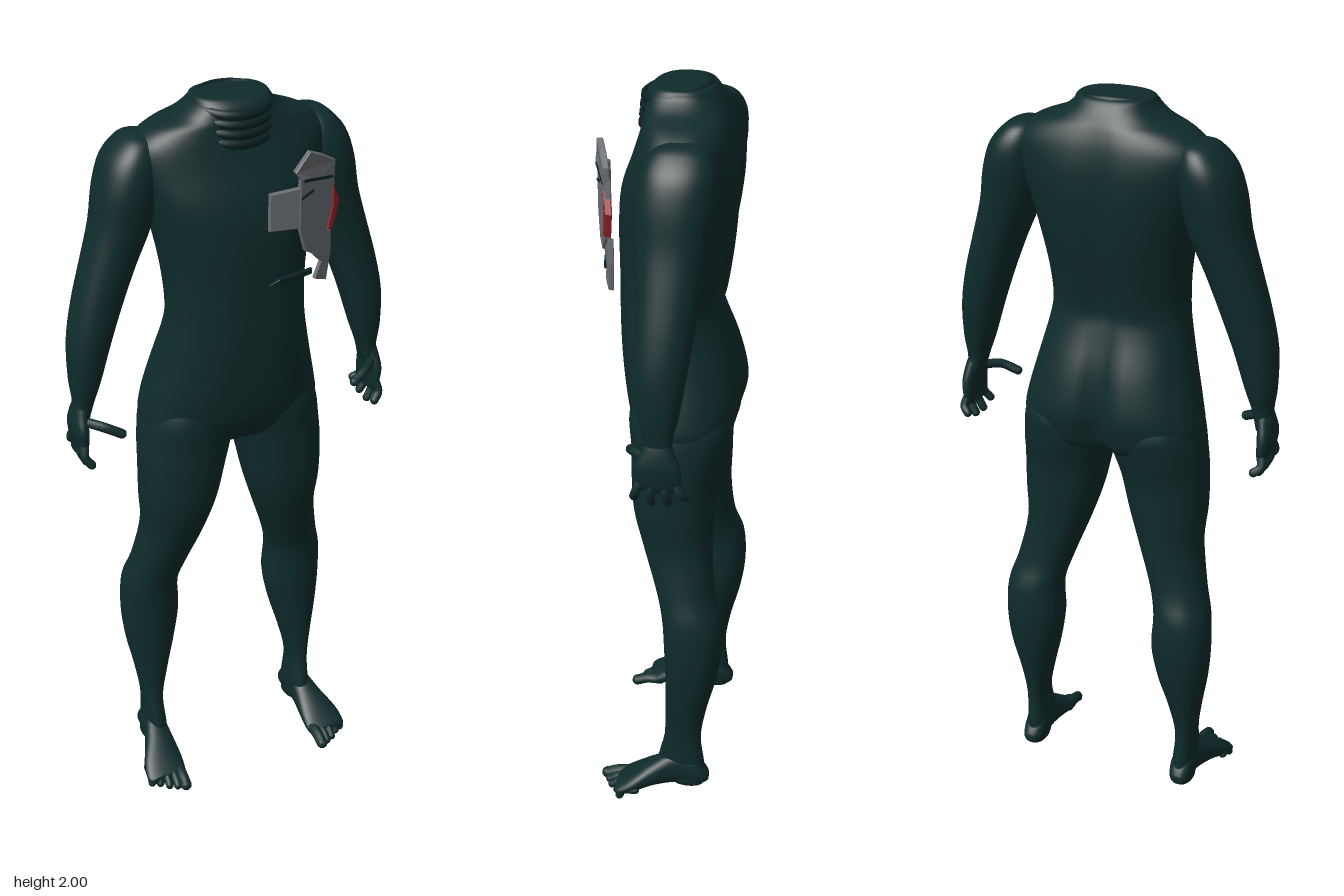
import * as THREE from 'three';
import { mergeGeometries } from 'three/addons/utils/BufferGeometryUtils.js';

const flat = (name, color) => {
  const m = new THREE.MeshStandardMaterial({ color });
  m.name = name;
  return m;
};

// Smooth a table of section rows with a Catmull-Rom spline in every column
function refine(rows, n = 4) {
  const out = [];
  const at = i => rows[Math.max(0, Math.min(rows.length - 1, i))];
  for (let i = 0; i < rows.length - 1; i++) {
    for (let k = 0; k < n; k++) {
      const t = k / n;
      out.push(rows[i].map((b, c) => {
        const a = at(i - 1)[c], d = at(i + 1)[c], e = at(i + 2)[c];
        return 0.5 * (2 * b + (d - a) * t + (2 * a - 5 * b + 4 * d - e) * t * t + (3 * b - a - 3 * d + e) * t * t * t);
      }));
    }
  }
  out.push(rows[rows.length - 1]);
  return out;
}

// Closed skin through rounded sections; row = [t, u min, u max, v min, v max, groove]
function loft(rows, place, power = 2.2, seg = 40) {
  const pos = [], index = [], sections = refine(rows);
  const round = c => Math.sign(c) * Math.abs(c) ** (2 / power);
  sections.forEach(([t, u0, u1, v0, v1, groove = 0]) => {
    for (let j = 0; j < seg; j++) {
      const a = j / seg * Math.PI * 2;
      const u = (u0 + u1) / 2 + (u1 - u0) / 2 * round(Math.cos(a));
      let v = (v0 + v1) / 2 + (v1 - v0) / 2 * round(Math.sin(a));
      if (Math.sin(a) < 0) v += groove * Math.exp(-((u / 0.035) ** 2));
      pos.push(...place(t, u, v));
    }
  });
  const last = sections.length - 1;
  for (let i = 0; i < last; i++) {
    for (let j = 0; j < seg; j++) {
      const a = i * seg + j, b = i * seg + (j + 1) % seg;
      index.push(a, a + seg, b, b, a + seg, b + seg);
    }
  }
  [0, last].forEach((i, end) => {
    const [t, u0, u1, v0, v1] = sections[i], c = pos.length / 3;
    pos.push(...place(t, (u0 + u1) / 2, (v0 + v1) / 2));
    for (let j = 0; j < seg; j++) {
      const a = i * seg + j, b = i * seg + (j + 1) % seg;
      index.push(...(end ? [c, b, a] : [c, a, b]));
    }
  });
  const g = new THREE.BufferGeometry();
  g.setAttribute('position', new THREE.Float32BufferAttribute(pos, 3));
  g.setIndex(index);
  g.computeVertexNormals();
  return g;
}
const upright = (y, x, z) => [x, y, z];
const lengthwise = (z, x, y) => [x, y, z];

// Rounded finger or toe along a few points
function digit(points, r) {
  const p = points.map(q => new THREE.Vector3(...q));
  const parts = [new THREE.TubeGeometry(new THREE.CatmullRomCurve3(p), 8, r, 10)];
  [p[0], p[p.length - 1]].forEach(e =>
    parts.push(new THREE.SphereGeometry(r, 10, 8).translate(e.x, e.y, e.z)));
  return mergeGeometries(parts);
}

function mirrored(geometry) {
  const g = geometry.clone(), ix = g.index.array, n = g.attributes.normal;
  const p = g.attributes.position;
  for (let i = 0; i < p.count; i++) {
    p.setX(i, -p.getX(i));
    n.setX(i, -n.getX(i));
  }
  for (let i = 0; i < ix.length; i += 3) [ix[i], ix[i + 1]] = [ix[i + 1], ix[i]];
  return g;
}

export function createModel() {
  const model = new THREE.Group();
  model.name = 'suitedBody';
  const suit = flat('dark green suit', 0x0f2b2b);
  const trim = flat('collar green', 0x0b2223);
  const grey = flat('plate grey', 0x6b6f73);
  const red = flat('plate red', 0x98242a);
  const add = (name, geometry, material = suit) => {
    const m = new THREE.Mesh(geometry, material);
    m.name = name;
    model.add(m);
    return m;
  };
  const pair = (name, geometry) => {
    add(name + 'Left', geometry);
    add(name + 'Right', mirrored(geometry));
  };

  // Torso with neck stump, spine groove and seat cleft
  const torso = [
    // y, half width, back z, front z, groove
    [1.06, 0.1, -0.1, 0.03, 0.02], [1.09, 0.21, -0.155, 0.08, 0.04],
    [1.14, 0.243, -0.176, 0.105, 0.045], [1.2, 0.235, -0.185, 0.12, 0.04],
    [1.3, 0.21, -0.163, 0.132, 0.025], [1.4, 0.187, -0.125, 0.137, 0.012],
    [1.46, 0.18, -0.113, 0.137, 0.012], [1.55, 0.184, -0.13, 0.137, 0.012],
    [1.65, 0.2, -0.152, 0.137, 0.014], [1.75, 0.225, -0.165, 0.128, 0.015],
    [1.83, 0.25, -0.165, 0.1, 0.012], [1.89, 0.25, -0.155, 0.08, 0.008],
    [1.93, 0.205, -0.14, 0.07, 0.004], [1.955, 0.14, -0.125, 0.07, 0],
    [1.98, 0.105, -0.11, 0.068, 0], [1.997, 0.095, -0.095, 0.05, 0], [2, 0.08, -0.08, 0.035, 0],
  ].map(([y, w, b, f, g]) => [y, -w, w, b, f, g]);
  add('torso', loft(torso, upright, 2.4, 64));

  // Legs
  pair('leg', loft([
    [0.04, 0.205, 0.262, -0.12, -0.03], [0.1, 0.2, 0.262, -0.12, 0.01],
    [0.2, 0.205, 0.262, -0.11, -0.008], [0.3, 0.184, 0.276, -0.125, -0.01],
    [0.4, 0.157, 0.294, -0.15, -0.01], [0.5, 0.14, 0.302, -0.165, -0.006],
    [0.6, 0.143, 0.297, -0.16, 0], [0.68, 0.122, 0.275, -0.136, 0.02],
    [0.8, 0.08, 0.252, -0.127, 0.06], [0.9, 0.048, 0.257, -0.13, 0.085],
    [1, 0.024, 0.257, -0.135, 0.092], [1.08, 0.004, 0.252, -0.155, 0.094],
    [1.16, 0.005, 0.238, -0.165, 0.1], [1.24, 0.04, 0.2, -0.12, 0.08],
  ], upright));

  // Feet, heel raised a little, with toes fanned outwards
  pair('foot', loft([
    [0.125, 0.212, 0.305, 0.012, 0.04], [0.11, 0.2, 0.315, 0.01, 0.05],
    [0.07, 0.197, 0.31, 0.018, 0.078], [0.02, 0.2, 0.288, 0.028, 0.11],
    [-0.04, 0.203, 0.268, 0.034, 0.14], [-0.09, 0.2, 0.264, 0.038, 0.13],
    [-0.12, 0.207, 0.258, 0.042, 0.095], [-0.133, 0.22, 0.247, 0.052, 0.075],
  ], lengthwise));
  const toes = [];
  for (let i = 0; i < 5; i++) {
    const x = 0.215 + i * 0.021, r = i ? 0.0115 : 0.016, tip = 0.163 - i * 0.011 - (i > 2 ? 0.008 : 0);
    toes.push(digit([[x, 0.034, 0.09 - i * 0.006], [x + 0.003, 0.03, 0.13 - i * 0.007], [x + 0.004, r + 0.002, tip]], r));
  }
  pair('toes', mergeGeometries(toes));

  // Arms from shoulder cap to wrist
  pair('arm', loft([
    [1.19, 0.393, 0.432, -0.066, 0.008], [1.24, 0.378, 0.432, -0.062, 0.012],
    [1.3, 0.357, 0.438, -0.076, 0.024], [1.4, 0.326, 0.436, -0.092, 0.034],
    [1.5, 0.29, 0.416, -0.105, 0.036], [1.6, 0.25, 0.387, -0.115, 0.038],
    [1.7, 0.206, 0.358, -0.128, 0.044], [1.79, 0.185, 0.342, -0.14, 0.05],
    [1.86, 0.18, 0.318, -0.138, 0.04], [1.905, 0.19, 0.278, -0.115, 0.015], [1.92, 0.21, 0.25, -0.08, -0.02],
  ], upright));

  // Hands with spread fingers and thumb
  pair('palm', loft([
    [1.105, 0.404, 0.43, -0.075, 0.018], [1.13, 0.402, 0.438, -0.086, 0.028],
    [1.17, 0.4, 0.443, -0.083, 0.03], [1.21, 0.395, 0.437, -0.068, 0.014], [1.24, 0.388, 0.428, -0.055, 0.005],
  ], upright));
  const fingers = [0, 1, 2, 3].map(i => {
    const z = 0.016 - i * 0.029, spread = 0.018 - i * 0.014, drop = [1.078, 1.066, 1.07, 1.088][i];
    return digit([[0.42, 1.13, z], [0.425, 1.1, z + spread * 0.6], [0.41, drop, z + spread]], 0.0115);
  });
  fingers.push(digit([[0.41, 1.19, 0.005], [0.375, 1.185, 0.04], [0.333, 1.165, 0.056]], 0.0125));
  pair('fingers', mergeGeometries(fingers));

  // Layered collar, lower at the front
  for (let i = 0; i < 4; i++) {
    const ring = new THREE.TorusGeometry(0.1, 0.012, 8, 48).rotateX(Math.PI / 2);
    ring.scale(1.02 - i * 0.035, 1.1, 0.9 - i * 0.03).rotateX(0.32 - i * 0.05);
    add('collarBand', ring.translate(0, 1.925 + i * 0.018, -0.004), trim);
  }

  // Chest plates: flat outlines wrapped back around the side of the chest
  const plate = (name, outline, material, thick, lift = 0) => {
    const shape = new THREE.Shape(outline.map(p => new THREE.Vector2(...p)));
    const g = new THREE.ExtrudeGeometry(shape, {
      depth: thick, bevelEnabled: true, bevelThickness: 0.002, bevelSize: 0.002, bevelSegments: 1,
    });
    const p = g.attributes.position;
    for (let i = 0; i < p.count; i++) {
      p.setZ(i, p.getZ(i) + 0.163 + lift - 0.38 * Math.max(0, p.getX(i) - 0.1));
    }
    g.computeVertexNormals();
    add(name, g, material);
  };
  plate('innerChestPlate', [[0.022, 1.705], [0.1, 1.7], [0.1, 1.8], [0.022, 1.796]], grey, 0.01);
  plate('outerChestPlate', [[0.1, 1.7], [0.12, 1.635], [0.15, 1.618], [0.192, 1.66], [0.215, 1.735],
    [0.206, 1.81], [0.16, 1.815], [0.1, 1.835]], grey, 0.012);
  plate('upperChestPlate', [[0.085, 1.845], [0.1, 1.825], [0.16, 1.808], [0.206, 1.805], [0.208, 1.843],
    [0.165, 1.868], [0.125, 1.886]], grey, 0.013, 0.003);
  plate('lowerChestPlate', [[0.15, 1.612], [0.165, 1.632], [0.205, 1.665], [0.208, 1.6], [0.195, 1.53],
    [0.158, 1.545], [0.178, 1.585]], grey, 0.01, -0.004);
  plate('redEdge', [[0.205, 1.785], [0.226, 1.735], [0.206, 1.672], [0.19, 1.668], [0.208, 1.735]], red, 0.014, 0.002);

  // Seams and the small strap beneath the plates
  plate('plateSeam', [[0.105, 1.778], [0.14, 1.788], [0.14, 1.784], [0.105, 1.774]], trim, 0.004, 0.011);
  plate('plateSeam', [[0.11, 1.822], [0.2, 1.807], [0.2, 1.803], [0.11, 1.818]], trim, 0.004, 0.014);
  plate('strap', [[0.025, 1.56], [0.05, 1.57], [0.145, 1.574], [0.145, 1.564], [0.05, 1.556]], trim, 0.008);
  return model;
}
